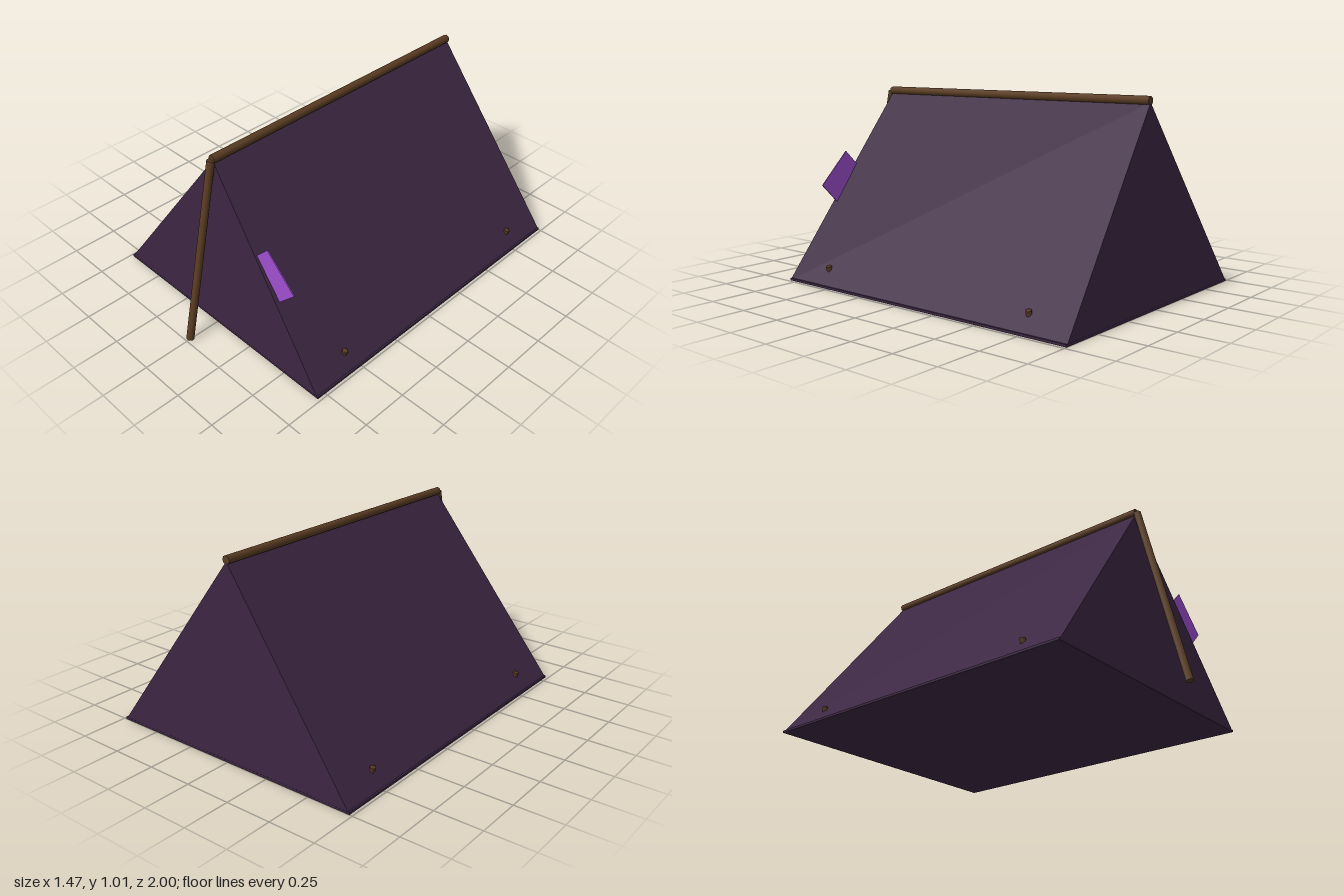
import * as THREE from 'three';

const material = (name, color) => {
  const m = new THREE.MeshStandardMaterial({ color });
  m.name = name;
  return m;
};

export function createModel() {
  const canvas = material('dark plum canvas', 0x3c2642);
  const wood = material('brown wood', 0x593c22);
  const purple = material('bright purple', 0x9f50d0);
  purple.side = THREE.DoubleSide;

  const model = new THREE.Group();
  model.name = 'tent';
  const add = (name, geometry, mat) => {
    const mesh = new THREE.Mesh(geometry, mat);
    mesh.name = name;
    model.add(mesh);
    return mesh;
  };

  // Round wooden pole between two points
  const pole = (name, from, to, radius, sides) => {
    const a = new THREE.Vector3(...from), b = new THREE.Vector3(...to);
    const dir = b.clone().sub(a);
    const mesh = add(name, new THREE.CylinderGeometry(radius, radius, dir.length(), sides), wood);
    mesh.position.copy(a).add(b).multiplyScalar(0.5);
    mesh.quaternion.setFromUnitVectors(new THREE.Vector3(0, 1, 0), dir.normalize());
    return mesh;
  };

  // Closed canvas wedge with gables leaning in towards the ridge
  const w = 0.735, top = 0.98;
  const fl = [-w, 0, 0.8], fr = [w, 0, 0.8], ft = [0, top, 0.745];
  const bl = [-w, 0, -1], br = [w, 0, -1], bt = [0, top, -0.945];
  const faces = [
    fl, fr, ft, // front gable
    br, bl, bt, // back gable
    fr, br, bt, fr, bt, ft, // +x slope
    bl, fl, ft, bl, ft, bt, // -x slope
    fl, bl, br, fl, br, fr, // floor
  ];
  const shell = new THREE.BufferGeometry();
  shell.setAttribute('position', new THREE.Float32BufferAttribute(faces.flat(), 3));
  shell.computeVertexNormals();
  add('canvas', shell, canvas);

  // Thin ground sheet
  const sheet = add('groundSheet', new THREE.BoxGeometry(2 * w, 0.012, 1.8), canvas);
  sheet.position.set(0, 0.006, -0.1);

  // Ridge pole and leaning front pole
  pole('ridgePole', [0, 0.988, 0.75], [0, 0.988, -0.945], 0.022, 8);
  pole('frontPole', [0, 0.985, 0.755], [0, 0.005, 0.978], 0.02, 8);

  // Four pegs leaning outwards from the slopes
  for (const side of [-1, 1]) {
    for (const z of [0.555, -0.755]) {
      pole('peg', [side * 0.65, 0.015, z], [side * 0.675, 0.102, z], 0.015, 6);
    }
  }

  // Tilted purple flap sticking out beside the front gable
  const flap = add('flap', new THREE.BoxGeometry(0.244, 0.2, 0.006), purple);
  flap.position.set(0.382, 0.51, 0.752);
  flap.rotation.z = -Math.PI / 4;

  return model;
}
